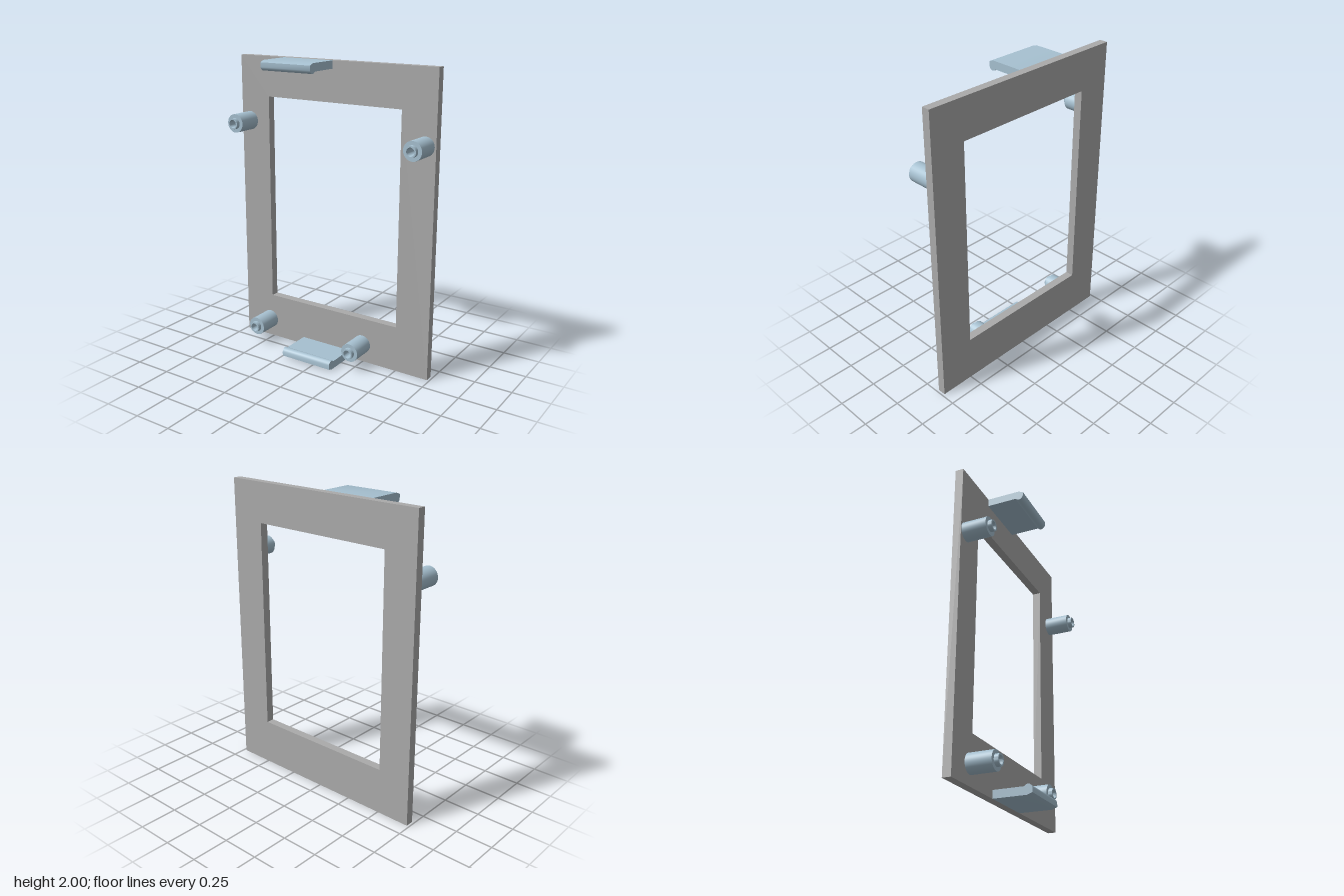
import * as THREE from 'three';
import { toCreasedNormals } from 'three/addons/utils/BufferGeometryUtils.js';

const BACK = -0.153, FACE = -0.098;

export function createModel() {
  const model = new THREE.Group();
  model.name = 'mountingFrame';
  const grey = new THREE.MeshStandardMaterial({ name: 'grey plate', color: 0xaaaaaa });
  const blue = new THREE.MeshStandardMaterial({ name: 'pale blue fittings', color: 0xa6c0d0 });

  const add = (name, geometry, material, x, y, z) => {
    const mesh = new THREE.Mesh(geometry, material);
    mesh.name = name;
    mesh.position.set(x, y, z);
    model.add(mesh);
  };
  const polygon = (points) => points.map(([x, y]) => new THREE.Vector2(x, y));
  const rectangle = (x0, y0, x1, y1) => polygon([[x0, y0], [x1, y0], [x1, y1], [x0, y1]]);

  // Flat plate with a window slightly off centre
  const plate = new THREE.Shape(rectangle(-0.733, 0, 0.733, 2));
  plate.holes.push(new THREE.Path(rectangle(-0.508, 0.312, 0.496, 1.735)));
  add('framePlate', new THREE.ExtrudeGeometry(plate, { depth: FACE - BACK, bevelEnabled: false }),
    grey, 0, 0, BACK);

  // Stepped standoffs with a blind bore
  const profile = polygon([
    [0, 0], [0.062, 0], [0.062, 0.165], [0.037, 0.165], [0.037, 0.192],
    [0.027, 0.192], [0.025, 0.185], [0.025, 0.01], [0, 0.01],
  ]);
  const standoff = toCreasedNormals(new THREE.LatheGeometry(profile, 32).rotateX(Math.PI / 2), 0.5);
  [[-0.667, 1.562], [0.661, 1.527], [-0.527, 0.127], [0.243, 0.127]].forEach(([x, y], i) =>
    add(`standoff${i + 1}`, standoff, blue, x, y, FACE));

  // Snap clips: a flat arm ending in a rounded lip, mirrored top to bottom
  const clip = (name, x0, x1, atTop) => {
    const section = [
      [FACE, 0], [0.12, 0], [0.153, 0.012], [0.153, 0.042], [0.147, 0.054], [0.137, 0.062],
      [0.125, 0.065], [0.113, 0.062], [0.1, 0.052], [FACE, 0.052],
    ].map(([z, y]) => [z, atTop ? 2 - y : y]);
    const geometry = new THREE.ExtrudeGeometry(new THREE.Shape(polygon(section)),
      { depth: x1 - x0, bevelEnabled: false }).rotateY(-Math.PI / 2);
    add(name, toCreasedNormals(geometry, 0.6), blue, x1, 0, 0);
  };
  clip('topClip', -0.376, 0, true);
  clip('bottomClip', -0.238, 0.14, false);

  return model;
}
